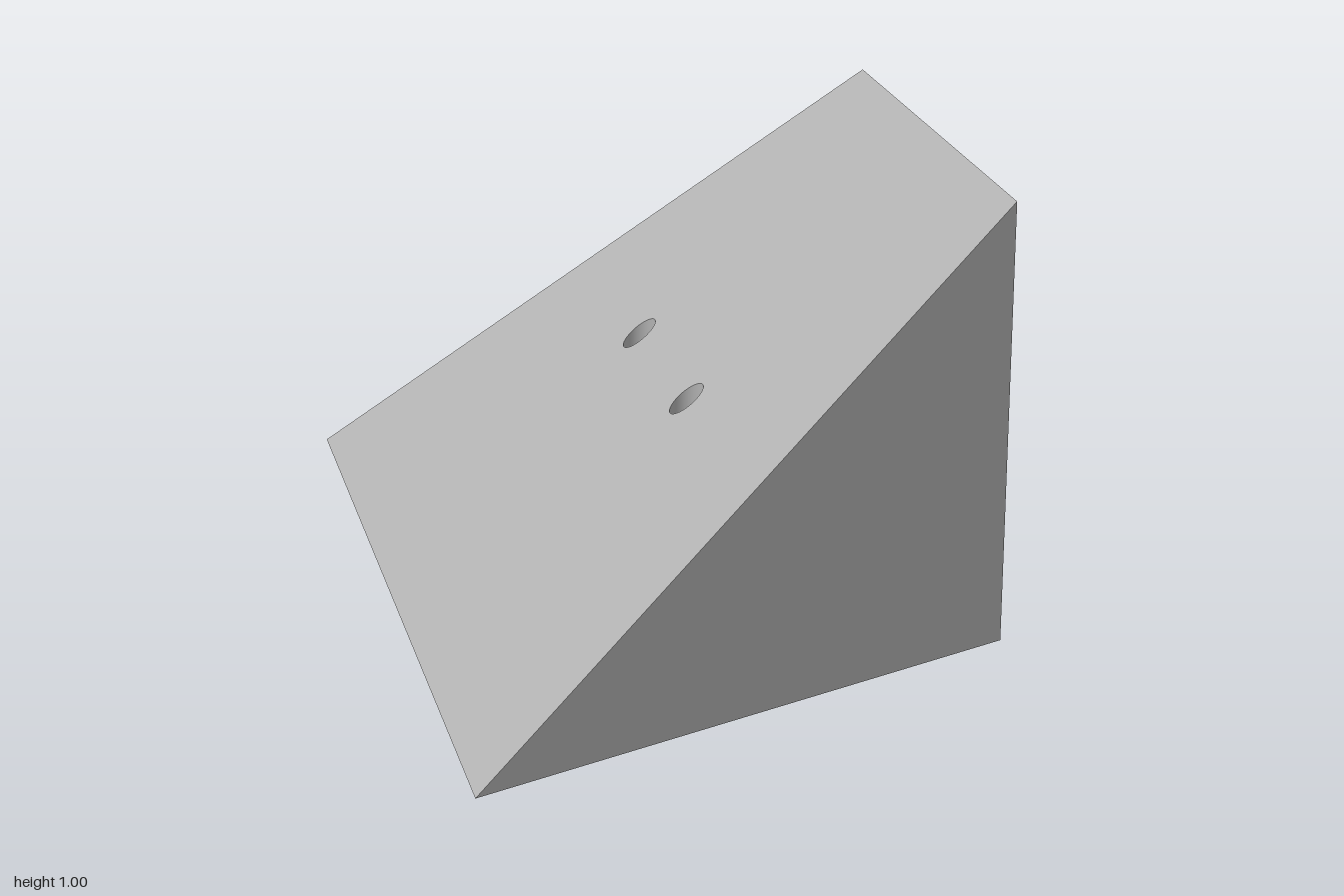
import * as THREE from 'three';
import { mergeVertices } from 'three/addons/utils/BufferGeometryUtils.js';

const HALF = 0.625;      // half length along x
const WALL = 0.075;      // shell thickness
const RIB = 0.04;        // half thickness of the middle rib
const BORE_R = 0.037;

// Plan half width and heights as functions of x
const outerZ = x => 0.545 + 0.455 * (HALF - x) / (2 * HALF);
const innerZ = x => outerZ(x) - 0.08;
const ground = () => 0;
const slope = x => 0.8 * (x + HALF);
const ceiling = x => 0.8 * (x + HALF - WALL);

// Counter-clockwise trapezoid in plan
const trapezoid = (x0, x1, w) => [[x0, -w(x0)], [x1, -w(x1)], [x1, w(x1)], [x0, w(x0)]]
  .map(p => new THREE.Vector2(...p));

const circle = z => Array.from({ length: 32 }, (_, i) => {
  const a = i / 32 * Math.PI * 2;
  return new THREE.Vector2(BORE_R * Math.cos(a), z + BORE_R * Math.sin(a));
});

// Horizontal outline with holes, lifted to a height rule
function sheet(outline, holes, height, down) {
  const shape = new THREE.Shape(outline);
  shape.holes = holes.map(h => new THREE.Path(h));
  const g = new THREE.ShapeGeometry(shape).rotateX(-Math.PI / 2);
  const p = g.attributes.position;
  for (let i = 0; i < p.count; i++) p.setY(i, height(p.getX(i)));
  if (down) {
    const idx = g.index.array;
    for (let i = 0; i < idx.length; i += 3) [idx[i], idx[i + 1]] = [idx[i + 1], idx[i]];
  }
  g.computeVertexNormals();
  return g;
}

// Vertical walls along a closed outline; inward turns them to face the middle
function walls(outline, top, inward = false, smooth = false) {
  const pts = inward ? [...outline].reverse() : outline;
  const pos = [];
  pts.forEach((p, i) => {
    const q = pts[(i + 1) % pts.length];
    if (top(p.x) + top(q.x) < 1e-6) return;
    const a = [p.x, 0, -p.y], b = [q.x, 0, -q.y];
    const c = [q.x, top(q.x), -q.y], d = [p.x, top(p.x), -p.y];
    pos.push(...a, ...b, ...c, ...a, ...c, ...d);
  });
  let g = new THREE.BufferGeometry();
  g.setAttribute('position', new THREE.Float32BufferAttribute(pos, 3));
  if (smooth) g = mergeVertices(g);
  g.computeVertexNormals();
  return g;
}

export function createModel() {
  const model = new THREE.Group();
  model.name = 'wedgeBlock';
  const grey = new THREE.MeshStandardMaterial({ color: 0xb0b0b0 });
  grey.name = 'grey';
  const add = (name, geometry) => {
    const mesh = new THREE.Mesh(geometry, grey);
    mesh.name = name;
    model.add(mesh);
  };

  const outline = trapezoid(-HALF, HALF, outerZ);
  const bores = [-0.22, 0.22].map(circle);
  const pockets = [
    trapezoid(-HALF + WALL, -RIB, innerZ),
    trapezoid(RIB, HALF - WALL, innerZ),
  ];

  // Outer shell
  add('slopeFace', sheet(outline, bores, slope, false));
  add('outerWalls', walls(outline, slope));
  add('bottomRim', sheet(outline, [...pockets, ...bores], ground, true));

  // Hollow pockets on either side of the rib
  pockets.forEach((pocket, i) => {
    const side = i ? 'deep' : 'shallow';
    add(side + 'PocketWalls', walls(pocket, ceiling, true));
    add(side + 'PocketCeiling', sheet(pocket, [], ceiling, true));
  });

  // Screw holes through the rib
  bores.forEach((bore, i) => add(i ? 'backBore' : 'frontBore', walls(bore, slope, true, true)));

  return model;
}
